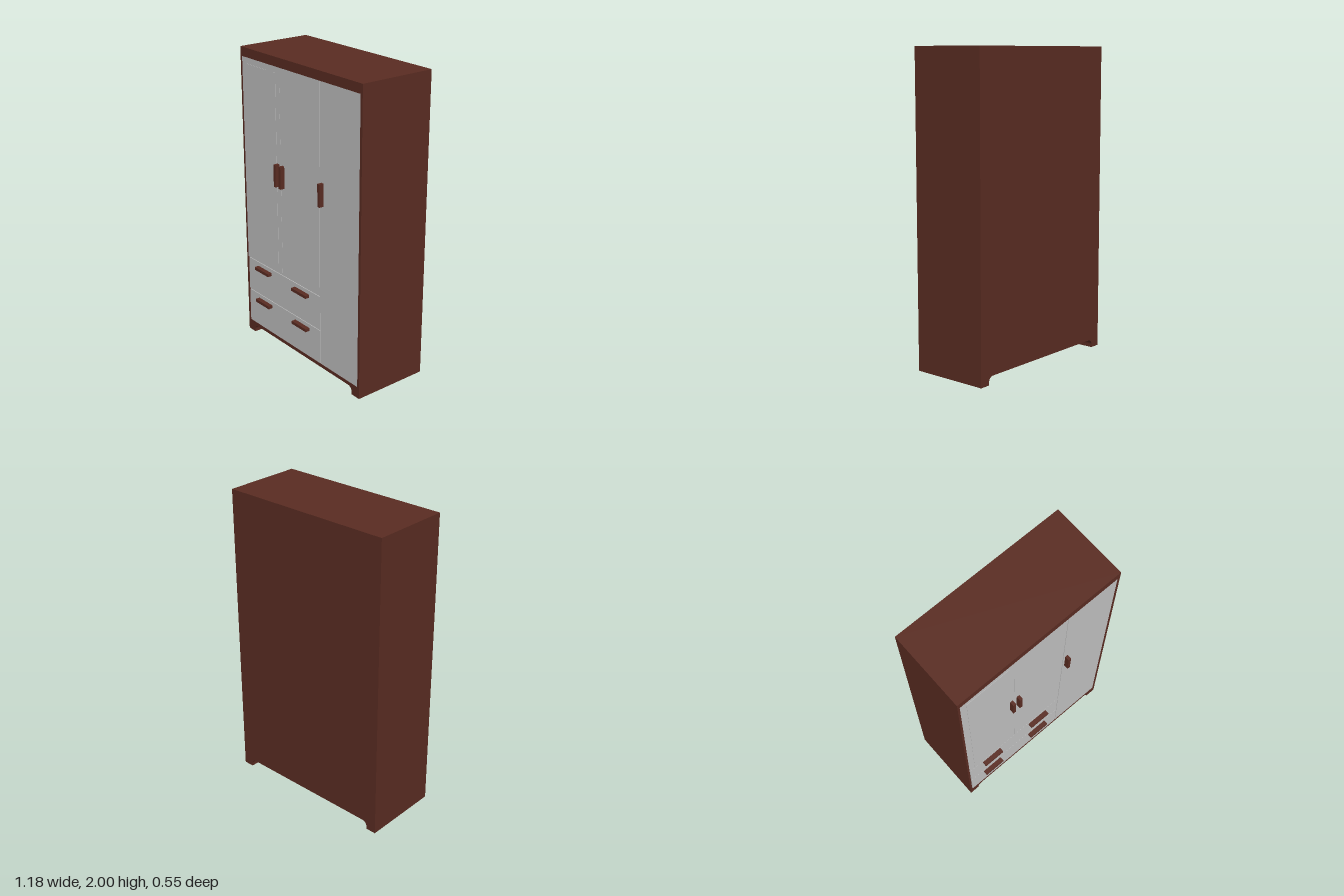
import * as THREE from 'three';

export function createModel() {
  const model = new THREE.Group();
  const wood = new THREE.MeshStandardMaterial({ color: 0x5a2c22 });
  wood.name = 'dark wood';
  const panel = new THREE.MeshStandardMaterial({ color: 0xc0c0c0 });
  panel.name = 'pale panel';

  const back = -0.275, front = 0.245;

  // Box given by its limits on each axis
  function box(name, mat, [x0, x1], [y0, y1], [z0, z1]) {
    const mesh = new THREE.Mesh(new THREE.BoxGeometry(x1 - x0, y1 - y0, z1 - z0), mat);
    mesh.position.set((x0 + x1) / 2, (y0 + y1) / 2, (z0 + z1) / 2);
    mesh.name = name;
    model.add(mesh);
  }

  // Carcass: front outline with rounded foot arch and an opening for the doors
  const left = -0.575, right = 0.572, bottom = 0.077, top = 1.94;
  const w = 0.59, foot = 0.52, arch = 0.053, r = 0.035;
  const outline = new THREE.Shape();
  outline.moveTo(-w, 0);
  outline.lineTo(-foot, 0);
  outline.lineTo(-foot, arch - r);
  outline.absarc(-foot + r, arch - r, r, Math.PI, Math.PI / 2, true);
  outline.lineTo(foot - r, arch);
  outline.absarc(foot - r, arch - r, r, Math.PI / 2, 0, true);
  outline.lineTo(foot, 0);
  outline.lineTo(w, 0);
  outline.lineTo(w, 2);
  outline.lineTo(-w, 2);
  outline.closePath();
  const opening = new THREE.Path();
  opening.moveTo(left, bottom);
  opening.lineTo(left, top);
  opening.lineTo(right, top);
  opening.lineTo(right, bottom);
  opening.closePath();
  outline.holes.push(opening);
  const carcass = new THREE.Mesh(
    new THREE.ExtrudeGeometry(outline, { depth: front - back, bevelEnabled: false, curveSegments: 8 }), wood);
  carcass.position.z = back;
  carcass.name = 'carcass';
  model.add(carcass);

  // Back board and inner divider
  box('backBoard', wood, [left, right], [bottom, top], [back, back + 0.015]);
  box('divider', wood, [0.197, 0.213], [bottom, top], [back + 0.015, front - 0.022]);

  // Doors and drawer fronts, set flush in the opening
  const depth = [front - 0.02, front - 0.001];
  const split = 0.205, gap = 0.002, mid = -0.185;
  box('leftDoor', panel, [left, mid - 0.0005], [0.555 + gap, top], depth);
  box('middleDoor', panel, [mid + 0.0005, split - gap], [0.555 + gap, top], depth);
  box('tallDoor', panel, [split + gap, right], [bottom, top], depth);
  box('upperDrawer', panel, [-0.569, split - gap], [0.315 + gap, 0.555 - gap], depth);
  box('lowerDrawer', panel, [-0.569, split - gap], [bottom, 0.315 - gap], depth);

  // Thin raised panel on the first door
  box('doorInset', panel, [-0.53, -0.225], [0.594, 1.9], [front - 0.001, front + 0.001]);

  // Upright door handles
  const grip = [front - 0.001, 0.275];
  for (const x of [-0.21, -0.158, 0.232]) {
    box('doorHandle', wood, [x - 0.01, x + 0.01], [1.172, 1.32], grip);
  }

  // Level drawer handles, two per drawer
  for (const y of [0.515, 0.276]) {
    for (const x of [-0.385, 0.02]) {
      box('drawerHandle', wood, [x - 0.075, x + 0.075], [y - 0.01, y + 0.01], grip);
    }
  }
  return model;
}
